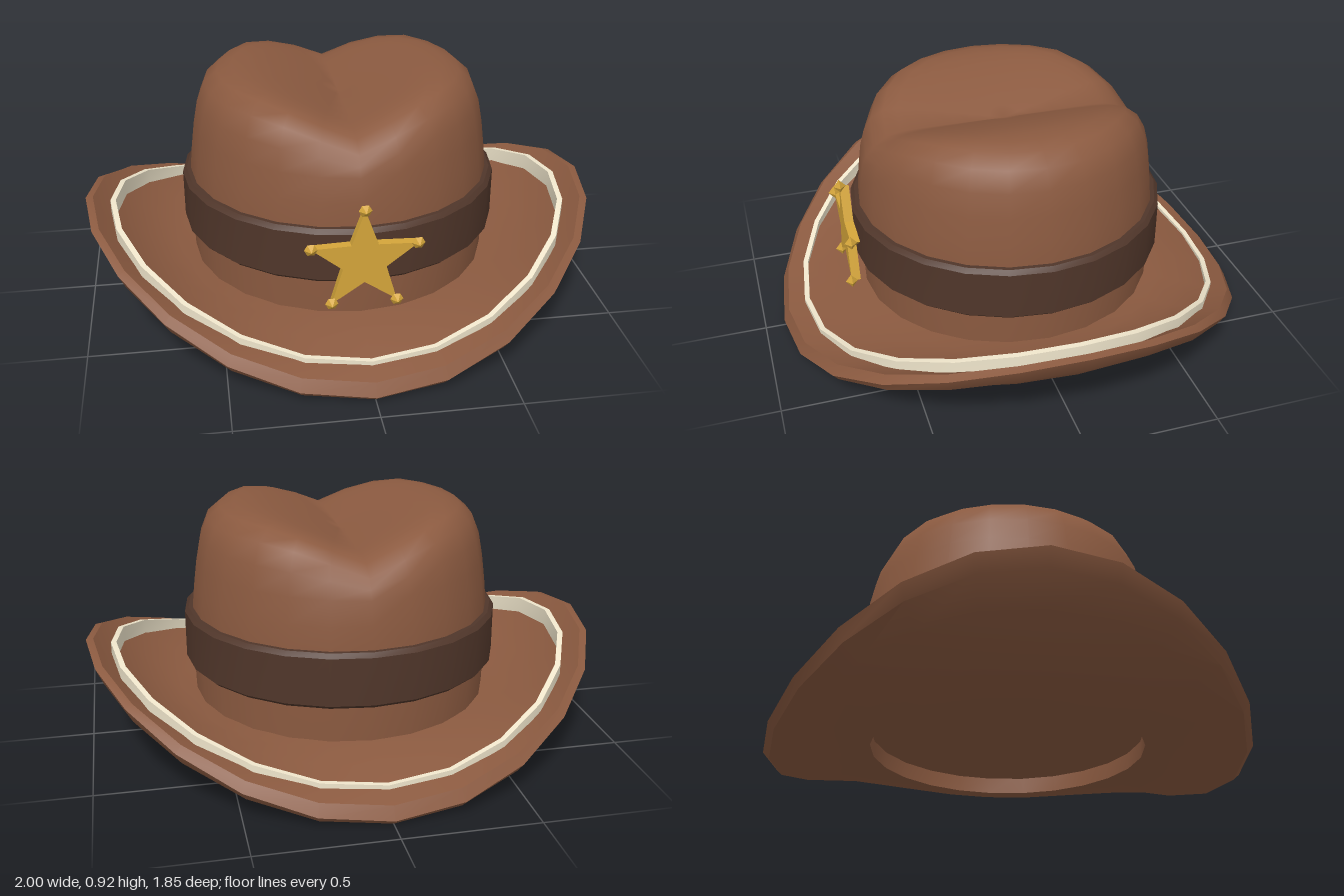
import * as THREE from 'three';
import { toCreasedNormals } from 'three/addons/utils/BufferGeometryUtils.js';

const SEG = 24;
const felt = new THREE.MeshStandardMaterial({ color: 0x8b5a40 });
const leather = new THREE.MeshStandardMaterial({ color: 0x50362a });
const cream = new THREE.MeshStandardMaterial({ color: 0xf0e6cc });
const gold = new THREE.MeshStandardMaterial({ color: 0xd4a53a });

// Sweep a section round the y axis; place(point, sin, cos) gives each [x, y, z].
function sweep(section, place, crease) {
  const pos = [], idx = [], n = section.length;
  for (let i = 0; i < SEG; i++) {
    const a = (i / SEG) * Math.PI * 2;
    for (const p of section) pos.push(...place(p, Math.sin(a), Math.cos(a)));
  }
  for (let i = 0; i < SEG; i++) {
    const u = i * n, v = ((i + 1) % SEG) * n;
    for (let j = 0; j < n - 1; j++) {
      if (section[j][0] !== 0 || section[j].open) idx.push(u + j, v + j, v + j + 1);
      else if (place === brimPoint) idx.push(u + j, v + j, v + j + 1);
      if (section[j + 1][0] !== 0 || place === brimPoint) idx.push(u + j, v + j + 1, u + j + 1);
    }
  }
  const g = new THREE.BufferGeometry();
  g.setAttribute('position', new THREE.Float32BufferAttribute(pos, 3));
  g.setIndex(idx);
  return toCreasedNormals(g, crease);
}

// Brim: t runs from the head opening (0) to the edge (1); the sides curl up, front and back dip.
const brimHeight = (t, s) => 0.08 + t * t * (-0.085 + 0.38 * s * s);
function brimPoint([t, lift], s, c) {
  const r = 0.53 * (1 - t);
  return [s * (r + t), brimHeight(t, s) + lift, c * (r + t * 0.925)];
}

// Crown: round dome with a lengthwise crease pressed into the top.
function crownPoint([r, y], s, c) {
  const x = r * s;
  const dent = 0.115 * Math.pow(Math.max(0, 1 - Math.abs(x) / 0.35), 1.4);
  return [x, y - dent * THREE.MathUtils.smoothstep(y, 0.65, 0.9), r * c];
}

const roundPoint = ([r, y], s, c) => [r * s, y, r * c];

// Cream trim: follows the brim, standing taller at the sides.
const trimPoint = ([k, h], s, c) => {
  const low = 0.075 + 0.25 * s * s, high = 0.115 + 0.275 * s * s;
  return [k * s, THREE.MathUtils.lerp(low, high, h), k * 0.921 * c];
};

function add(parent, name, geometry, material) {
  const mesh = new THREE.Mesh(geometry, material);
  mesh.name = name;
  parent.add(mesh);
  return mesh;
}

function starBadge() {
  const badge = new THREE.Group();
  badge.name = 'starBadge';
  const shape = new THREE.Shape();
  for (let i = 0; i < 10; i++) {
    const a = (i / 10) * Math.PI * 2, r = i % 2 ? 0.082 : 0.2;
    shape[i ? 'lineTo' : 'moveTo'](r * Math.sin(a), r * Math.cos(a));
  }
  shape.closePath();
  add(badge, 'starPlate', new THREE.ExtrudeGeometry(shape, { depth: 0.035, bevelEnabled: false }), gold);
  // Small faceted knob on every point
  const knob = new THREE.SphereGeometry(0.024, 6, 2).rotateX(Math.PI / 2);
  const knobGeometry = toCreasedNormals(knob, 0.3);
  for (let i = 0; i < 5; i++) {
    const a = (i / 5) * Math.PI * 2;
    add(badge, 'starKnob', knobGeometry, gold)
      .position.set(0.2 * Math.sin(a), 0.2 * Math.cos(a), 0.035);
  }
  badge.position.set(0, 0.41, 0.62);
  return badge;
}

export function createModel() {
  const hat = new THREE.Group();
  hat.name = 'hat';

  const brim = [
    [0, 0], [0.25, 0], [0.48, 0], [0.74, 0], [0.94, 0], [1, 0.032],
    [0.94, 0.07], [0.74, 0.07], [0.48, 0.073], [0.25, 0.08], [0, 0.085], [0, 0],
  ];
  add(hat, 'brim', sweep(brim, brimPoint, 0.6), felt);

  const crown = [
    [0, 0.145], [0.58, 0.145], [0.585, 0.3], [0.585, 0.5], [0.575, 0.6], [0.562, 0.7],
    [0.545, 0.79], [0.515, 0.865], [0.465, 0.908], [0.41, 0.921], [0.35, 0.924],
    [0.28, 0.924], [0.2, 0.923], [0.12, 0.922], [0.06, 0.921], [0, 0.92],
  ];
  add(hat, 'crown', sweep(crown, crownPoint, 0.9), felt);

  const band = [
    [0.575, 0.3], [0.6, 0.3], [0.615, 0.314], [0.615, 0.496], [0.6, 0.512], [0.575, 0.512], [0.575, 0.3],
  ];
  add(hat, 'hatBand', sweep(band, roundPoint, 0.5), leather);

  const trim = [[0.885, 0], [0.906, 0], [0.906, 1], [0.885, 1], [0.885, 0]];
  add(hat, 'brimTrim', sweep(trim, trimPoint, 0.5), cream);

  hat.add(starBadge());
  return hat;
}
